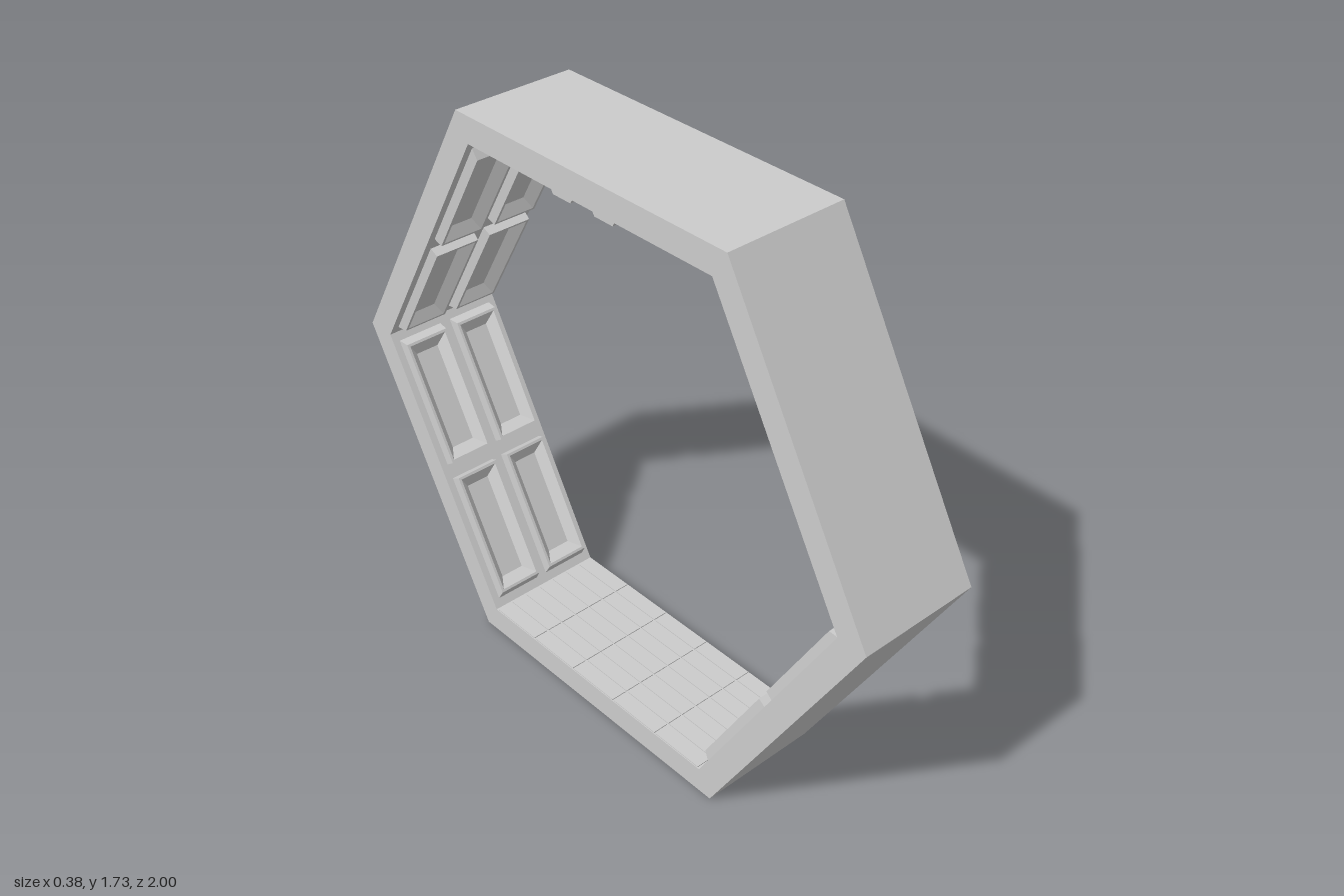
import * as THREE from 'three';

const WIDTH = 0.38, APOTHEM = 0.866, INNER = 0.786, SIDE = INNER / Math.cos(Math.PI / 6);
const material = new THREE.MeshStandardMaterial({ color: 0xcccccc, flatShading: true });

function addMesh(parent, name, geometry) {
  const mesh = new THREE.Mesh(geometry, material);
  mesh.name = name;
  parent.add(mesh);
  return mesh;
}

// Stack of rectangular rings [x0, x1, z0, z1, y], closed by a flat floor on the last ring
function ringsGeometry(rings) {
  const loops = rings.map(([x0, x1, z0, z1, y]) =>
    [[x0, y, z0], [x0, y, z1], [x1, y, z1], [x1, y, z0]]);
  const pos = [];
  const quad = (a, b, c, d) => pos.push(...a, ...b, ...c, ...a, ...c, ...d);
  for (let r = 0; r < loops.length - 1; r++) {
    for (let i = 0; i < 4; i++) {
      const j = (i + 1) % 4;
      quad(loops[r][i], loops[r][j], loops[r + 1][j], loops[r + 1][i]);
    }
  }
  quad(...loops[loops.length - 1]);
  const g = new THREE.BufferGeometry();
  g.setAttribute('position', new THREE.Float32BufferAttribute(pos, 3));
  g.computeVertexNormals();
  return g;
}

// Raised rim with a sloping recess; sx and sz choose the quarter of the wall
function panelGeometry(sx, sz) {
  const ring = (xa, xb, za, zb, y) => {
    const xs = [sx * xa, sx * xb].sort((a, b) => a - b);
    const zs = [sz * za, sz * zb].sort((a, b) => a - b);
    return [...xs, ...zs, y];
  };
  return ringsGeometry([
    ring(0.018, 0.168, 0.023, 0.426, 0),
    ring(0.021, 0.165, 0.025, 0.408, 0.029),
    ring(0.029, 0.157, 0.033, 0.400, 0.029),
    ring(0.055, 0.131, 0.064, 0.369, 0.002),
  ]);
}

function hexagon(PathType, apothem) {
  const r = apothem / Math.cos(Math.PI / 6);
  const path = new PathType();
  path.setFromPoints(Array.from({ length: 6 }, (_, i) =>
    new THREE.Vector2(Math.cos(i * Math.PI / 3) * r, Math.sin(i * Math.PI / 3) * r)));
  path.closePath();
  return path;
}

export function createModel() {
  const model = new THREE.Group();
  model.name = 'hexagonalCorridor';
  const ringGroup = new THREE.Group();
  ringGroup.name = 'corridorRing';
  ringGroup.position.y = APOTHEM;
  model.add(ringGroup);

  // Six-sided shell
  const shape = hexagon(THREE.Shape, APOTHEM);
  shape.holes.push(hexagon(THREE.Path, INNER));
  const shell = new THREE.ExtrudeGeometry(shape, { depth: WIDTH, bevelEnabled: false });
  shell.translate(0, 0, -WIDTH / 2).rotateY(Math.PI / 2);
  addMesh(ringGroup, 'shell', shell);

  // Four sloping walls, each with two by two panels
  for (const k of [1, 2, 4, 5]) {
    const wall = new THREE.Group();
    wall.name = 'wallPanels';
    wall.rotation.x = k * Math.PI / 3;
    ringGroup.add(wall);
    for (const sx of [-1, 1]) {
      for (const sz of [-1, 1]) {
        addMesh(wall, 'wallPanel', panelGeometry(sx, sz)).position.y = -INNER;
      }
    }
  }

  // Two shallow bevelled strips across the ceiling
  for (const s of [-1, 1]) {
    const strip = addMesh(ringGroup, 'ceilingStrip', ringsGeometry([
      [-0.19, 0.19, -0.04, 0.04, 0],
      [-0.19, 0.19, -0.033, 0.033, 0.011],
    ]));
    strip.rotation.x = Math.PI;
    strip.position.set(0, INNER, s * 0.078);
  }

  // Floor tiles with narrow joints
  const columns = 7, rows = 5, gap = 0.005;
  const dx = WIDTH / columns, dz = (SIDE - 0.01) / rows;
  for (let i = 0; i < columns; i++) {
    for (let j = 0; j < rows; j++) {
      const tile = addMesh(ringGroup, 'floorTile', new THREE.BoxGeometry(dx - gap, 0.004, dz - gap));
      tile.position.set((i - (columns - 1) / 2) * dx, -INNER + 0.001, (j - (rows - 1) / 2) * dz);
    }
  }
  return model;
}
